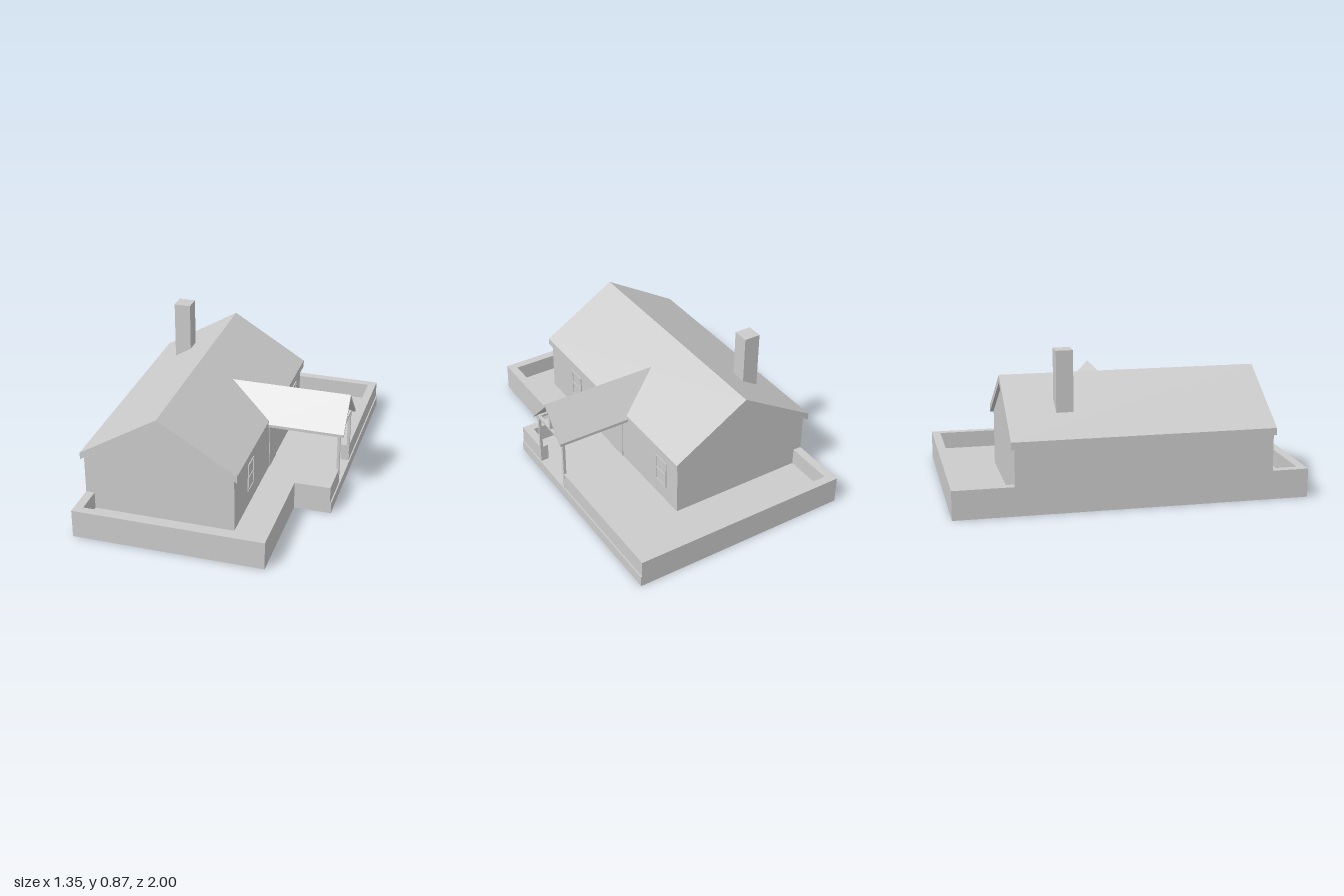
import * as THREE from 'three';

export function createModel() {
  const model = new THREE.Group();
  const material = new THREE.MeshStandardMaterial({ color: 0xcccccc, flatShading: true });

  const add = (name, geometry, parent = model) => {
    const mesh = new THREE.Mesh(geometry, material);
    mesh.name = name;
    parent.add(mesh);
    return mesh;
  };
  // Box given by its limits on each axis
  const box = (name, [x0, x1], [y0, y1], [z0, z1], parent) => {
    const g = new THREE.BoxGeometry(x1 - x0, y1 - y0, z1 - z0);
    g.translate((x0 + x1) / 2, (y0 + y1) / 2, (z0 + z1) / 2);
    return add(name, g, parent);
  };
  const extrude = (points, depth) => new THREE.ExtrudeGeometry(
    new THREE.Shape(points.map(([x, y]) => new THREE.Vector2(x, y))),
    { depth, bevelEnabled: false });
  // Plan outline of (x, z) points raised from y0 to y1
  const plan = (name, points, y0, y1) => {
    const g = extrude(points.map(([x, z]) => [x, -z]), y1 - y0);
    g.rotateX(-Math.PI / 2).translate(0, y0, 0);
    return add(name, g);
  };

  const floor = 0.065, parapetTop = 0.165, wallX = 0.21;

  // Ground slab and the low wall around the yard, open at the gate
  plan('groundSlab', [[-0.655, -1], [0.655, -1], [0.655, 0.37], [0.44, 0.37], [0.44, 1], [-0.655, 1]], 0, floor);
  plan('frontYardWall', [
    [0.648, 0.14], [0.648, 0.37], [0.44, 0.37], [0.44, 1], [-0.655, 1], [-0.655, 0.79],
    [-0.605, 0.79], [-0.605, 0.95], [0.39, 0.95], [0.39, 0.32], [0.6, 0.32], [0.6, 0.14],
  ], floor, parapetTop);
  plan('backYardWall', [
    [0.648, -0.13], [0.648, -1], [-0.655, -1], [-0.655, -0.66],
    [-0.605, -0.66], [-0.605, -0.95], [0.6, -0.95], [0.6, -0.13],
  ], floor, parapetTop);

  // House body with gable ends
  add('houseWalls', extrude([
    [-0.655, floor], [wallX, floor], [wallX, 0.385], [-0.22, 0.645], [-0.655, 0.382],
  ], 1.45).translate(0, 0, -0.66));

  // Main roof, a bent slab with overhangs
  add('mainRoof', extrude([
    [-0.675, 0.375], [-0.22, 0.647], [0.228, 0.375], [0.228, 0.416], [-0.22, 0.69], [-0.675, 0.416],
  ], 1.48).translate(0, 0, -0.68));

  box('chimney', [-0.498, -0.4], [0.45, 0.865], [-0.405, -0.31]);

  // Door and windows on the porch side
  box('door', [wallX, wallX + 0.004], [floor, 0.335], [-0.073, 0.076]);
  for (const z of [0.475, -0.495]) {
    const win = new THREE.Group();
    win.name = 'window';
    model.add(win);
    const x = [wallX, wallX + 0.006], h = 0.055, t = 0.008;
    box('windowPane', [wallX, wallX + 0.002], [0.16, 0.33], [z - h, z + h], win);
    for (const y of [0.16, 0.241, 0.322]) box('windowRail', x, [y, y + t], [z - h, z + h], win);
    for (const e of [z - h, z + h - t]) box('windowStile', x, [0.16, 0.33], [e, e + t], win);
  }

  // Porch roof: its inner end is cut to meet the slope of the main roof
  const porch = new THREE.Group();
  porch.name = 'porch';
  porch.position.z = 0.003;
  model.add(porch);
  const roof = extrude([
    [-0.165, 0.383], [0, 0.558], [0.165, 0.383], [0.165, 0.4], [0.151, 0.415],
    [0, 0.576], [-0.151, 0.415], [-0.165, 0.4],
  ], 1).rotateY(Math.PI / 2);
  const p = roof.attributes.position;
  for (let i = 0; i < p.count; i++) {
    const valley = Math.min(0.228, -0.22 + (0.69 - p.getY(i)) / 0.611);
    p.setX(i, p.getX(i) < 0.5 ? valley : 0.67);
  }
  roof.computeVertexNormals();
  add('porchRoof', roof, porch);

  // Porch frame: posts, side beams, tie beam and king post
  for (const s of [-1, 1]) {
    const z = s * 0.143, side = [z - 0.0075, z + 0.0075];
    box('porchPost', [0.633, 0.649], [floor, 0.395], side, porch);
    box('sideBeam', [wallX, 0.649], [0.383, 0.398], side, porch);
  }
  box('tieBeam', [0.633, 0.649], [0.383, 0.397], [-0.15, 0.15], porch);
  box('kingPost', [0.633, 0.649], [0.395, 0.56], [-0.007, 0.007], porch);

  return model;
}
